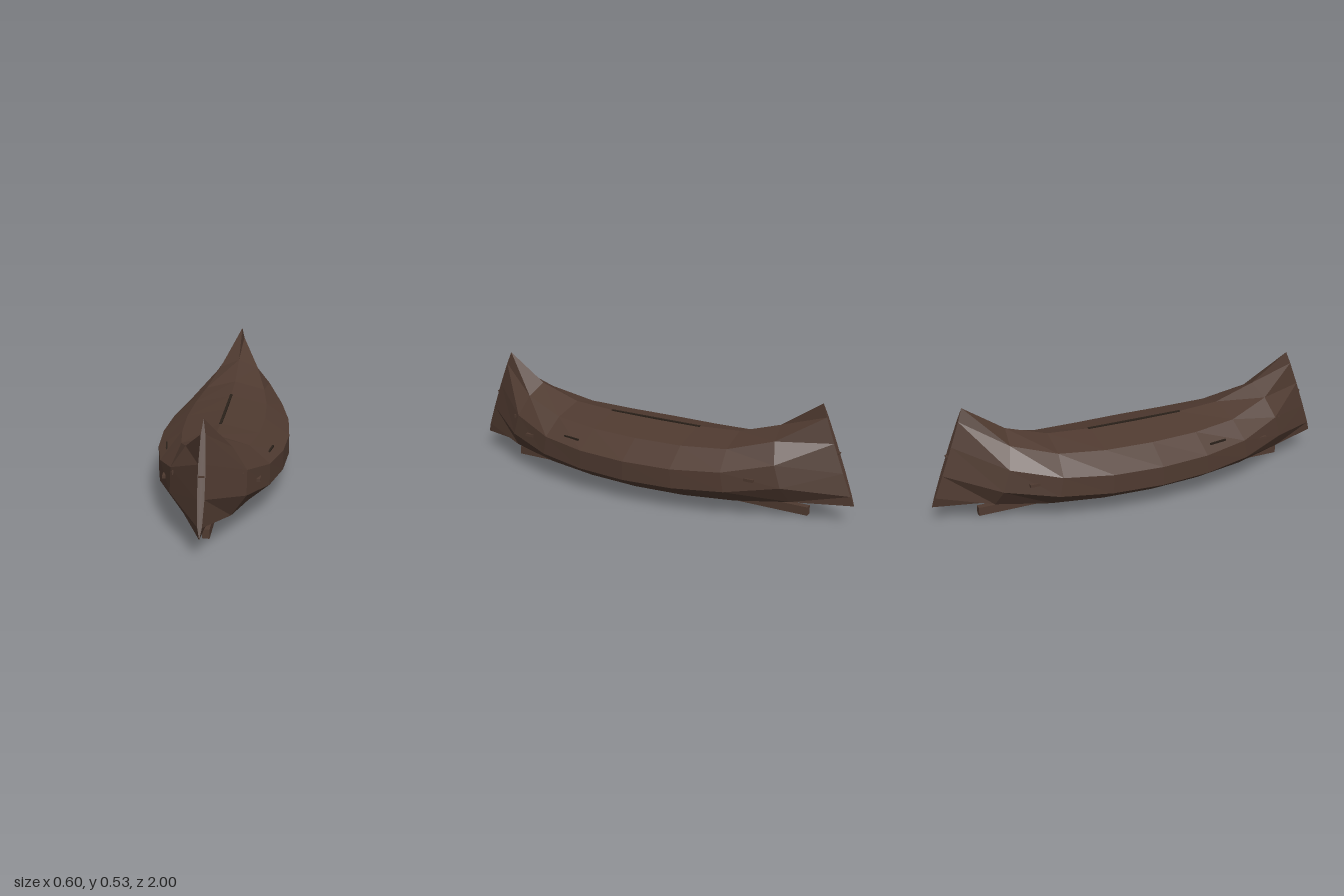
import * as THREE from 'three';

// Half of the hull section: [share of half width, share of height], keel to deck ridge
const SECTION = [[0, 0], [0.617, 0.1], [1, 0.33], [1, 0.62], [0.617, 0.87], [0, 1]];
const RING = [...SECTION, ...SECTION.slice(1, -1).reverse().map(([x, h]) => [-x, h])];

// Stations from midship to stem: [length, half width, bottom, top]
const HALF = [
  [0, 0.3, 0.01, 0.32],
  [0.25, 0.285, 0.015, 0.322],
  [0.5, 0.24, 0.029, 0.336],
  [0.75, 0.16, 0.052, 0.4],
  [1, 0.015, 0.085, 0.53],
];
const STATIONS = [...HALF.slice(1).reverse().map(([l, ...s]) => [-l, ...s]), ...HALF];

// Lofts the closed hull; the upper part of each station rakes towards midship
function hullGeometry() {
  const pos = [], index = [], n = RING.length;
  for (const [l, w, bottom, top] of STATIONS) {
    const rake = 0.165 * Math.sign(l) * Math.abs(l) ** 1.5;
    for (const [x, h] of RING) pos.push(x * w, bottom + h * (top - bottom), l - rake * h);
  }
  for (let i = 0; i < STATIONS.length - 1; i++) {
    for (let j = 0; j < n; j++) {
      const a = i * n + j, b = i * n + (j + 1) % n;
      index.push(a, b, b + n, a, b + n, a + n);
    }
  }
  // Narrow stem faces at both ends
  const last = (STATIONS.length - 1) * n;
  for (let j = 1; j < n - 1; j++) {
    index.push(0, j + 1, j, last, last + j, last + j + 1);
  }
  const g = new THREE.BufferGeometry();
  g.setAttribute('position', new THREE.Float32BufferAttribute(pos, 3));
  g.setIndex(index);
  const flat = g.toNonIndexed();
  flat.computeVertexNormals();
  return flat;
}

export function createModel() {
  const model = new THREE.Group();
  model.name = 'boat';
  const wood = new THREE.MeshStandardMaterial({ name: 'dark brown wood', color: 0x4f3a30, flatShading: true });
  const dark = new THREE.MeshStandardMaterial({ name: 'blackened wood', color: 0x2a211a, flatShading: true });

  const add = (name, geometry, material, x = 0, y = 0, z = 0) => {
    const mesh = new THREE.Mesh(geometry, material);
    mesh.name = name;
    mesh.position.set(x, y, z);
    model.add(mesh);
    return mesh;
  };
  const box = (name, size, material, x, y, z) =>
    add(name, new THREE.BoxGeometry(...size), material, x, y, z);

  add('hull', hullGeometry(), wood);
  box('keel', [0.03, 0.04, 1.58], wood, 0, 0.02, 0);
  box('deckRidge', [0.012, 0.012, 0.48], dark, 0, 0.319, 0);

  // Small pegs on the two stems
  for (const end of [1, -1]) box('stemPeg', [0.024, 0.006, 0.02], wood, 0, 0.317, end * 0.912);

  for (const side of [1, -1]) {
    // Blocks on the flanks near both ends
    for (const end of [1, -1]) box('sideBlock', [0.02, 0.013, 0.045], wood, side * 0.199, 0.195, end * 0.585);
    // Bow fittings
    box('bowCleat', [0.012, 0.017, 0.02], wood, side * 0.143, 0.255, 0.708);
    const slot = box('bowSlot', [0.008, 0.008, 0.09], dark, side * 0.234, 0.238, 0.32);
    slot.rotation.y = -side * 0.15;
  }
  return model;
}
